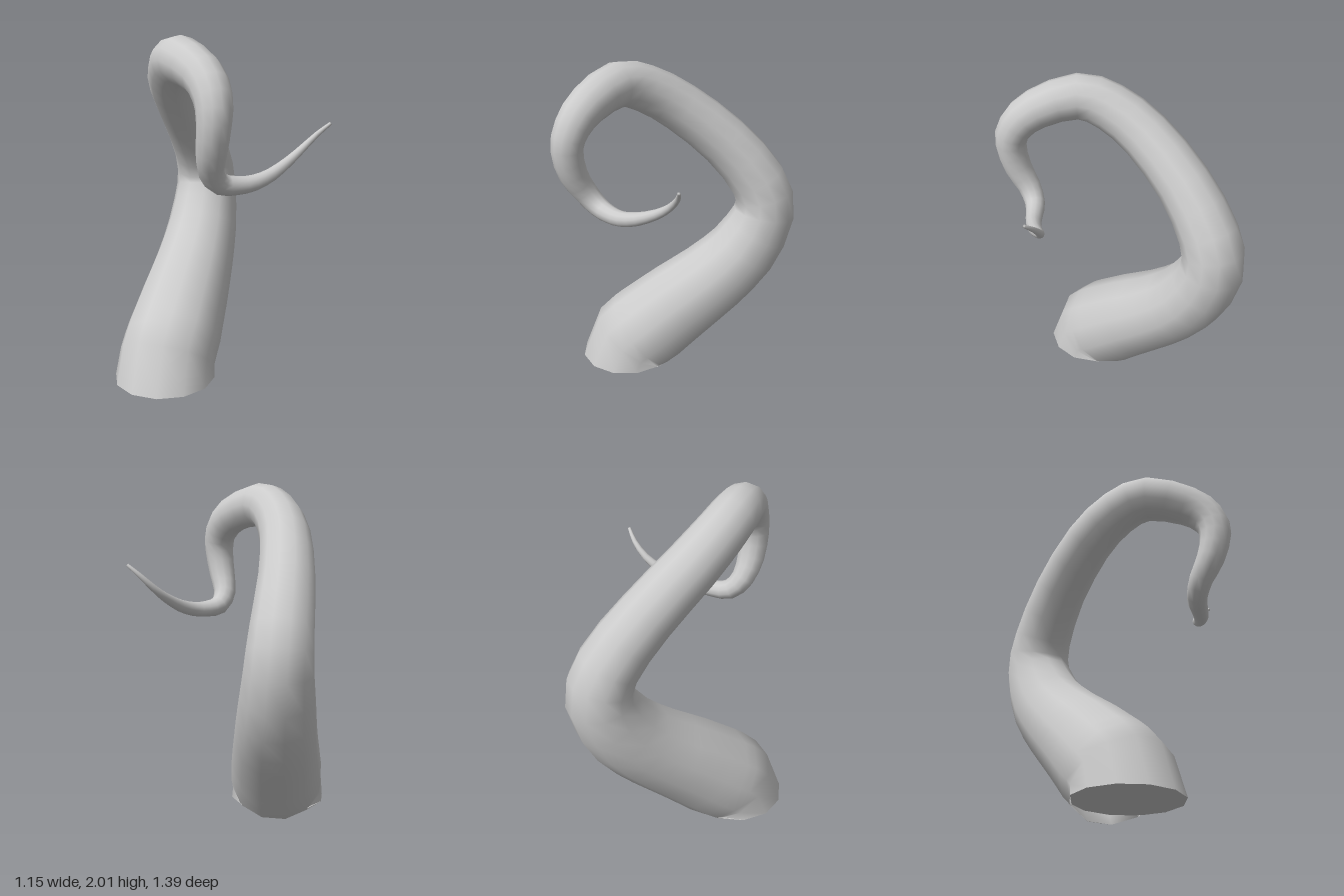
import * as THREE from 'three';

const SIDES = 12;

// Centre line and thickness from base to tip: x, y, z, radius
const SPINE = [
  [-0.29, 0.05, 0.35, 0.29], [-0.29, 0.157, 0.31, 0.28], [-0.295, 0.26, 0.19, 0.28],
  [-0.305, 0.42, 0, 0.262], [-0.32, 0.58, -0.2, 0.24], [-0.34, 0.77, -0.39, 0.218],
  [-0.36, 1.02, -0.515, 0.188], [-0.37, 1.23, -0.465, 0.172], [-0.375, 1.475, -0.26, 0.156],
  [-0.345, 1.69, 0, 0.145], [-0.27, 1.82, 0.2, 0.135], [-0.16, 1.872, 0.35, 0.127],
  [0.02, 1.81, 0.495, 0.112], [0.105, 1.71, 0.575, 0.1], [0.123, 1.59, 0.608, 0.089],
  [0.1, 1.44, 0.585, 0.08], [0.075, 1.325, 0.525, 0.068], [0.1, 1.25, 0.455, 0.059],
  [0.17, 1.232, 0.385, 0.05], [0.24, 1.238, 0.315, 0.044], [0.305, 1.268, 0.225, 0.037],
  [0.37, 1.325, 0.12, 0.028], [0.43, 1.39, 0.05, 0.021], [0.5, 1.465, 0.01, 0.015],
  [0.57, 1.525, 0.003, 0.009],
];

function tentacleGeometry() {
  const last = SPINE.length - 1;
  const curve = new THREE.CatmullRomCurve3(
    SPINE.map(([x, y, z]) => new THREE.Vector3(x, y, z)), false, 'catmullrom', 0.5);

  // Stations along the spine, two per span above the base; the last closes the tip
  const stations = [0];
  for (let s = 1; s <= last; s += 0.5) stations.push(s);
  stations.push(last);

  const positions = [], index = [];
  const tangent = new THREE.Vector3(0, 1, 0); // the base is cut level
  const normal = new THREE.Vector3(0, 0, 1);
  const turn = new THREE.Quaternion();

  stations.forEach((s, i) => {
    const centre = curve.getPoint(s / last);
    // Carry the ring's frame along without twisting it
    if (i > 0) {
      const next = curve.getTangent(s / last);
      normal.applyQuaternion(turn.setFromUnitVectors(tangent, next));
      tangent.copy(next);
    }
    const side = new THREE.Vector3().crossVectors(tangent, normal);
    const k = Math.min(Math.floor(s), last - 1);
    const radius = i === stations.length - 1 ? 0
      : THREE.MathUtils.lerp(SPINE[k][3], SPINE[k + 1][3], s - k);

    for (let j = 0; j < SIDES; j++) {
      const a = ((j + 0.5) / SIDES) * Math.PI * 2;
      const p = centre.clone()
        .addScaledVector(normal, Math.cos(a) * radius)
        .addScaledVector(side, Math.sin(a) * radius);
      positions.push(p.x, p.y, p.z);
      if (i > 0) {
        const j2 = (j + 1) % SIDES;
        const lo = (i - 1) * SIDES, hi = i * SIDES;
        index.push(lo + j, lo + j2, hi + j, lo + j2, hi + j2, hi + j);
      }
    }
  });

  const geometry = new THREE.BufferGeometry();
  geometry.setAttribute('position', new THREE.Float32BufferAttribute(positions, 3));
  geometry.setIndex(index);
  geometry.computeVertexNormals();
  return geometry;
}

export function createModel() {
  const group = new THREE.Group();
  group.name = 'tentacle';
  const material = new THREE.MeshStandardMaterial({ color: 0xcccccc, side: THREE.DoubleSide });

  // Tapering, curling arm
  const arm = new THREE.Mesh(tentacleGeometry(), material);
  arm.name = 'arm';
  group.add(arm);

  // Flat cut underneath
  const [x, y, z, radius] = SPINE[0];
  const base = new THREE.Mesh(
    new THREE.CircleGeometry(radius, SIDES, Math.PI / SIDES).rotateX(Math.PI / 2), material);
  base.name = 'baseCap';
  base.position.set(x, y, z);
  group.add(base);

  return group;
}
